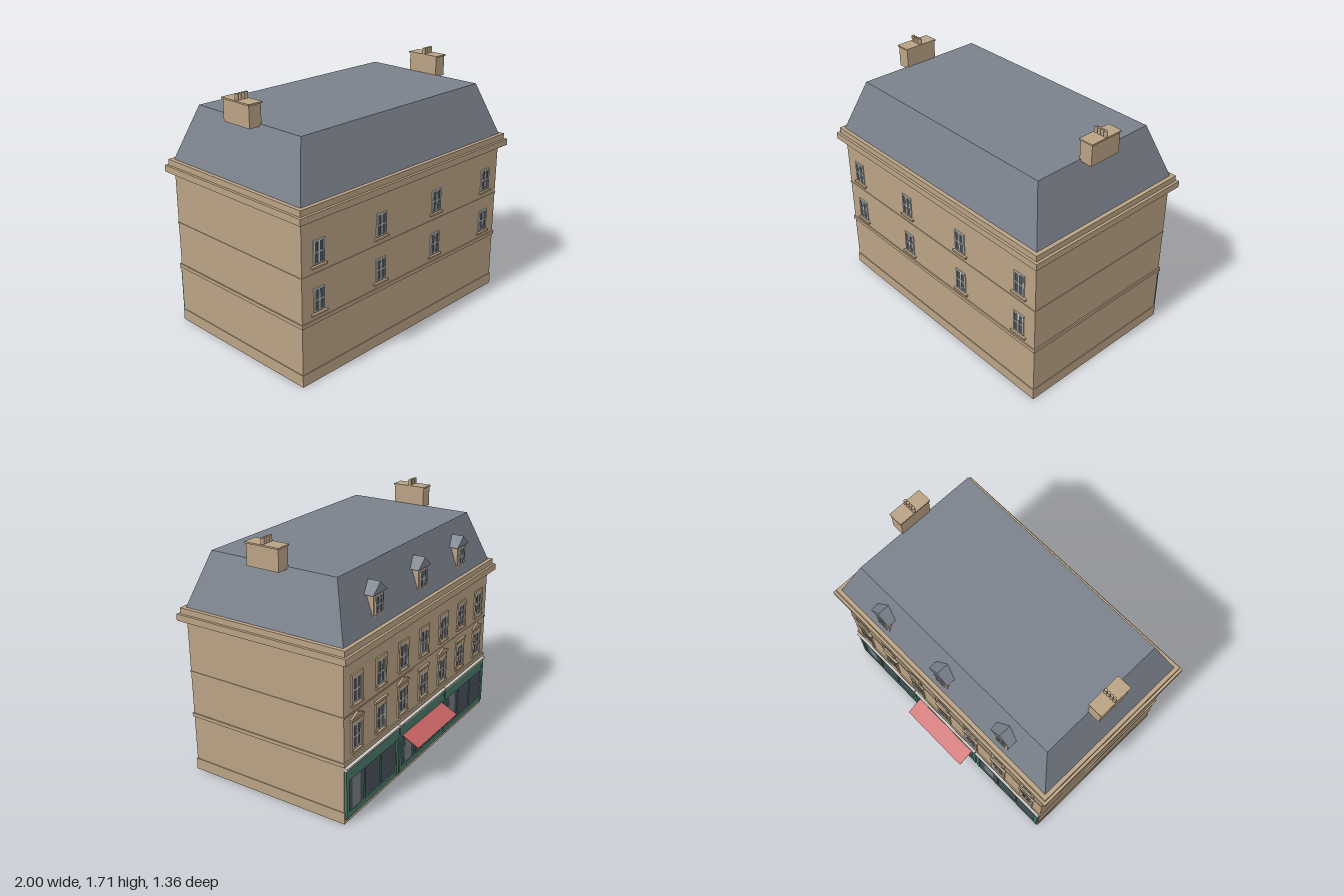
import * as THREE from 'three';

const mat = (name, color) => {
  const m = new THREE.MeshStandardMaterial({ color });
  m.name = name;
  return m;
};

export function createModel() {
  const stone = mat('stone', 0xb9a284);
  const slate = mat('slate', 0x7a818c);
  const trim = mat('paleTrim', 0xcac7c0);
  const glass = mat('glass', 0x47505a);
  const teal = mat('shopPaint', 0x487a6a);
  const red = mat('awningRed', 0xc46262);
  const door = mat('doorGlass', 0x777c84);

  const model = new THREE.Group();
  model.name = 'townhouse';

  const group = (name, parent, x = 0, y = 0, z = 0) => {
    const g = new THREE.Group();
    g.name = name;
    g.position.set(x, y, z);
    parent.add(g);
    return g;
  };
  const add = (parent, name, geo, m) => {
    const mesh = new THREE.Mesh(geo, m);
    mesh.name = name;
    parent.add(mesh);
    return mesh;
  };
  // Box given by its extents on each axis
  const box = (parent, name, m, x0, x1, y0, y1, z0, z1) => {
    const geo = new THREE.BoxGeometry(x1 - x0, y1 - y0, z1 - z0);
    geo.translate((x0 + x1) / 2, (y0 + y1) / 2, (z0 + z1) / 2);
    return add(parent, name, geo, m);
  };
  // Triangular prism, ridge along z
  const prism = (parent, name, m, halfWidth, y0, y1, z0, z1) => {
    const s = new THREE.Shape();
    s.moveTo(-halfWidth, y0);
    s.lineTo(halfWidth, y0);
    s.lineTo(0, y1);
    s.closePath();
    const geo = new THREE.ExtrudeGeometry(s, { depth: z1 - z0, bevelEnabled: false });
    geo.translate(0, 0, z0);
    return add(parent, name, geo, m);
  };

  // Walls and horizontal bands
  const FRONT = 0.635, BACK = -0.545, HALF = 0.955;
  const band = (name, y0, y1, o) =>
    box(model, name, stone, -HALF - o, HALF + o, y0, y1, BACK - o, FRONT + o);
  band('walls', 0, 1.1, 0);
  band('plinth', 0, 0.08, 0.005);
  band('lowerBand', 0.4, 0.425, 0.008);
  band('stringCourse', 0.72, 0.73, 0.004);
  band('corniceLower', 1.085, 1.13, 0.045);
  band('corniceUpper', 1.13, 1.17, 0.027);

  // Mansard roof: a box whose top is drawn inwards
  const roof = new THREE.BoxGeometry(1, 1, 1);
  const p = roof.attributes.position;
  for (let i = 0; i < p.count; i++) {
    const top = p.getY(i) > 0;
    const x = top ? 0.825 : HALF;
    const z = p.getZ(i) > 0 ? (top ? 0.51 : FRONT) : (top ? -0.42 : BACK);
    p.setXYZ(i, Math.sign(p.getX(i)) * x, top ? 1.53 : 1.17, z);
  }
  roof.computeVertexNormals();
  add(model, 'mansardRoof', roof, slate);

  // Chimneys with a row of pots
  for (const side of [-1, 1]) {
    const c = group('chimney', model, side * 0.862, 0, 0.047);
    box(c, 'chimneyStack', stone, -0.046, 0.046, 1.515, 1.655, -0.118, 0.118);
    box(c, 'chimneyCap', stone, -0.052, 0.052, 1.655, 1.665, -0.125, 0.125);
    for (let i = 0; i < 4; i++) {
      const pot = add(c, 'chimneyPot', new THREE.CylinderGeometry(0.011, 0.012, 0.04, 10), stone);
      pot.position.set(-0.036 + i * 0.024, 1.685, 0);
    }
  }

  // Each facade is built facing +z, with its wall at z = 0
  const front = group('frontFacade', model, 0, 0, FRONT);
  const back = group('backFacade', model, 0, 0, BACK);
  back.rotation.y = Math.PI;

  // Glazed sash with pale frame and bars
  const sash = (parent, w, h) => {
    const a = w / 2, t = 0.009;
    box(parent, 'windowGlass', glass, -a + 0.002, a - 0.002, 0.002, h - 0.002, 0, 0.004);
    for (const s of [-1, 1]) {
      const x = s * (a - t / 2);
      box(parent, 'frameSide', trim, x - t / 2, x + t / 2, 0, h, 0, 0.008);
    }
    box(parent, 'frameTop', trim, -a, a, h - t, h, 0, 0.008);
    box(parent, 'frameBottom', trim, -a, a, 0, t, 0, 0.008);
    box(parent, 'verticalBar', trim, -0.005, 0.005, 0, h, 0, 0.0075);
    box(parent, 'crossBar', trim, -a, a, h * 0.5 - 0.004, h * 0.5 + 0.004, 0, 0.007);
  };
  const sill = (parent) =>
    box(parent, 'windowSill', stone, -0.063, 0.063, -0.02, -0.008, 0, 0.016);

  // Front windows
  for (const y of [0.475, 0.785])
    for (let i = 0; i < 4; i++) {
      const w = group('frontWindow', front, -0.818 + i * 0.5453, y);
      sash(w, 0.09, 0.155);
      sill(w);
    }

  // Back windows with stone surrounds, the lower row with hoods
  for (const y of [0.475, 0.785])
    for (let i = 0; i < 7; i++) {
      const w = group('backWindow', back, -0.818 + i * 0.2727, y);
      sash(w, 0.09, 0.165);
      sill(w);
      for (const s of [-1, 1])
        box(w, 'windowJamb', stone, s * 0.0525 - 0.0085, s * 0.0525 + 0.0085, -0.008, 0.165, 0, 0.01);
      box(w, 'windowLintel', stone, -0.061, 0.061, 0.165, 0.19, 0, 0.01);
      if (y > 0.6) continue;
      box(w, 'windowHood', stone, -0.07, 0.07, 0.198, 0.212, 0, 0.016);
      if (i % 2 === 0) prism(w, 'pediment', stone, 0.07, 0.212, 0.243, 0, 0.014);
    }

  // Dormers
  for (const x of [-0.545, 0, 0.545]) {
    const d = group('dormer', back, x, 0, 0);
    box(d, 'dormerBody', stone, -0.06, 0.06, 1.228, 1.376, -0.08, -0.02);
    prism(d, 'dormerRoof', slate, 0.083, 1.375, 1.445, -0.1, -0.008);
    sash(group('dormerWindow', d, 0, 1.24, -0.02), 0.078, 0.122);
  }

  // Shopfronts
  const W = 0.312;
  for (const x of [-0.638, 0, 0.638]) {
    const s = group('shopfront', back, x, 0, 0);
    box(s, 'shopGlass', glass, -W + 0.01, W - 0.01, 0.06, 0.3, 0, 0.007);
    box(s, 'shopDoor', door, -0.235, -0.145, 0.068, 0.292, 0.005, 0.0085);
    box(s, 'stallRiser', teal, -W, W, 0.03, 0.068, 0, 0.014);
    box(s, 'fascia', teal, -W, W, 0.292, 0.37, 0, 0.014);
    for (const e of [-1, 1])
      box(s, 'pilaster', teal, e * (W - 0.014) - 0.014, e * (W - 0.014) + 0.014, 0.03, 0.37, 0, 0.016);
    for (const b of [-0.095, 0.095])
      box(s, 'shopMullion', teal, b - 0.005, b + 0.005, 0.068, 0.292, 0, 0.012);
    box(s, 'shopCorniceLower', trim, -W - 0.002, W + 0.002, 0.37, 0.38, 0, 0.018);
    box(s, 'shopCorniceUpper', trim, -W - 0.004, W + 0.004, 0.38, 0.392, 0, 0.024);
  }

  // Sloping awning over the middle shop
  const drop = 0.06, reach = 0.122;
  const awning = add(back, 'awning',
    new THREE.BoxGeometry(0.555, 0.004, Math.hypot(drop, reach)), red);
  awning.position.set(0, 0.296 - drop / 2, 0.012 + reach / 2);
  awning.rotation.x = Math.atan2(drop, reach);

  return model;
}
